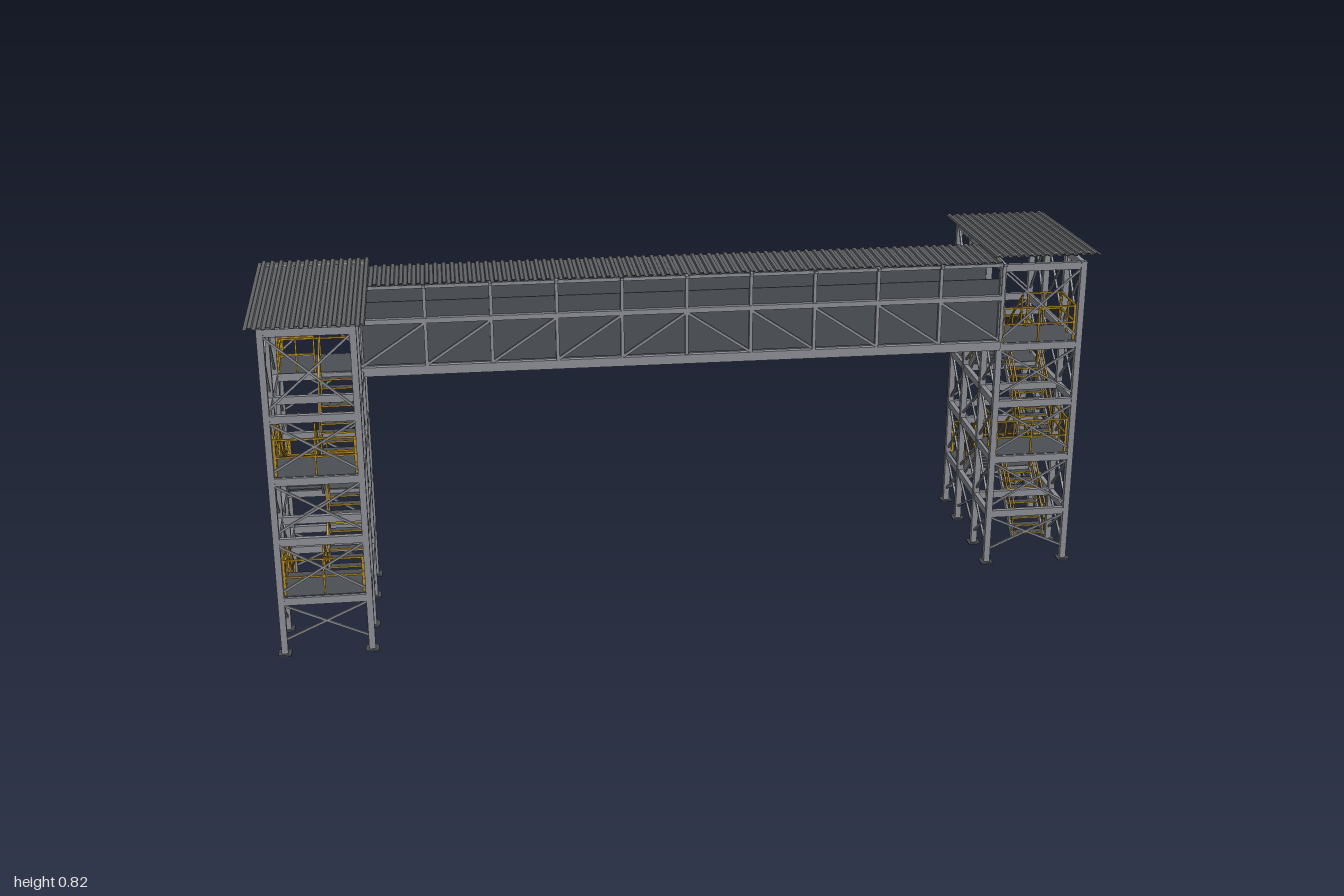
import * as THREE from 'three';
import { mergeGeometries } from 'three/addons/utils/BufferGeometryUtils.js';

const STEEL = 0x8a8c92, DARK = 0x4c5054, ROOF = 0x606265, YELLOW = 0xb58c22;
const V = (x, y, z) => new THREE.Vector3(x, y, z);

// One named mesh from many pieces
function part(name, color, geos) {
  const mesh = new THREE.Mesh(mergeGeometries(geos), new THREE.MeshStandardMaterial({ color }));
  mesh.name = name;
  return mesh;
}

const box = (w, h, d, x, y, z) => new THREE.BoxGeometry(w, h, d).translate(x, y, z);

// Rectangular bar between two points
function bar(a, b, w, h = w) {
  const o = new THREE.Object3D();
  o.position.copy(a).add(b).multiplyScalar(0.5);
  o.lookAt(b);
  o.updateMatrix();
  return new THREE.BoxGeometry(w, h, a.distanceTo(b)).applyMatrix4(o.matrix);
}

// Pair of crossing rods in the rectangle spanned by (p,q) at two heights
function cross(p, q, y0, y1) {
  return [
    bar(V(p[0], y0, p[1]), V(q[0], y1, q[1]), 0.005),
    bar(V(p[0], y1, p[1]), V(q[0], y0, q[1]), 0.005),
  ];
}

// Level guard rail with top rail, mid rail and posts
function guard(p, q, y) {
  const at = (t, h) => V(p[0] + (q[0] - p[0]) * t, y + h, p[1] + (q[1] - p[1]) * t);
  const out = [0.044, 0.086].map(h => bar(at(0, h), at(1, h), 0.004));
  for (const t of [0.02, 0.5, 0.98]) out.push(bar(at(t, 0), at(t, 0.086), 0.004));
  return out;
}

// Corrugated sheet: trapezoid ribs along x, swept in z from zA to zB
function corrugated(x0, x1, zA, yA, zB, yB, count) {
  const top = [], pitch = (x1 - x0) / count, rise = 0.004;
  for (let i = 0; i < count; i++) {
    const x = x0 + i * pitch;
    top.push([x, 0], [x + pitch * 0.4, 0], [x + pitch * 0.5, rise], [x + pitch * 0.9, rise]);
  }
  top.push([x1, 0]);
  const under = top.map(([x, y]) => [x, y - 0.0015]).reverse();
  const shape = new THREE.Shape([...top, ...under].map(([x, y]) => new THREE.Vector2(x, y)));
  const g = new THREE.ExtrudeGeometry(shape, { depth: Math.hypot(zB - zA, yB - yA), bevelEnabled: false });
  return g.rotateX(-Math.atan2(yB - yA, zB - zA)).translate(0, yA, zA);
}

const XO = -0.967, XI = -0.768;               // outer and inner column lines
const ROWS = [0.344, 0.22, 0.061, -0.061];    // column rows
const BEAMS = [0.134, 0.281, 0.428, 0.576, 0.777];
const FLOORS = [0, 0.145, 0.291, 0.438, 0.586];

function stairTower() {
  const tower = new THREE.Group();
  const columns = [], plates = [], beams = [], braces = [], rails = [], decks = [];
  const purlins = [], stringers = [], treads = [], nosings = [];

  // Frame
  for (const x of [XO, XI]) {
    for (const z of ROWS) {
      columns.push(box(0.015, 0.787, 0.015, x, 0.3935, z));
      plates.push(box(0.03, 0.004, 0.03, x, 0.002, z));
    }
    for (const y of BEAMS) beams.push(box(0.012, 0.018, 0.405, x, y, 0.1415));
  }
  for (const z of ROWS) {
    for (const y of BEAMS) beams.push(box(0.199, 0.018, 0.012, (XO + XI) / 2, y, z));
    // Purlins and rafters following the roof slope
    const y = 0.794 + (0.344 - z) * 0.04;
    purlins.push(box(0.25, 0.006, 0.008, -0.87, y - 0.003, z));
  }

  // Cross bracing on the long sides and both ends
  BEAMS.forEach((yTop, i) => {
    const y0 = i ? BEAMS[i - 1] + 0.024 : 0.038, y1 = yTop - 0.012;
    for (let b = 0; b < 3; b++) {
      for (const x of [XO, XI]) {
        if (x === XI && b === 2 && i === 4) continue;   // walkway opening
        braces.push(...cross([x, ROWS[b] - 0.007], [x, ROWS[b + 1] + 0.007], y0, y1));
      }
    }
    for (const z of [ROWS[0], ROWS[3]])
      braces.push(...cross([XO + 0.007, z], [XI - 0.007, z], y0, y1));
  });

  // Landings alternate between the far end and the bridge end
  for (let f = 1; f <= 4; f++) {
    const y = FLOORS[f], far = f % 2 === 1;
    const [za, zb] = far ? [0.337, 0.22] : [0.061, -0.054];
    decks.push(box(0.195, 0.004, Math.abs(za - zb) + 0.012, (XO + XI) / 2, y - 0.002, (za + zb) / 2));
    const end = far ? za : zb;
    rails.push(...guard([XO + 0.008, za], [XO + 0.008, zb], y));
    rails.push(...guard([XO + 0.008, end], [XI - 0.008, end], y));
    if (f < 4) rails.push(...guard([XI - 0.008, za], [XI - 0.008, zb], y));
    else rails.push(...guard([XO + 0.008, za], [-0.872, za], y));
  }

  // Flights: odd ones in the outer lane, even ones in the inner lane
  for (let f = 0; f < 4; f++) {
    const up = f % 2 === 0, xc = up ? -0.915 : -0.821, half = 0.041;
    const zs = up ? 0.065 : 0.215, ze = up ? 0.215 : 0.065;
    const ys = FLOORS[f] + (f ? -0.004 : 0.006), ye = FLOORS[f + 1] - 0.01;
    const at = (x, t, h) => V(x, ys + (ye - ys) * t + h, zs + (ze - zs) * t);
    for (const x of [xc - half, xc + half]) {
      stringers.push(bar(at(x, 0, 0), at(x, 1, 0), 0.005, 0.018));
      for (const h of [0.05, 0.092]) rails.push(bar(at(x, 0, h), at(x, 1, h), 0.004));
      for (const t of [0.04, 0.5, 0.96]) rails.push(bar(at(x, t, 0), at(x, t, 0.092), 0.004));
    }
    for (let i = 0; i < 9; i++) {
      const p = at(xc, (i + 0.5) / 9, 0.004), dir = Math.sign(ze - zs);
      treads.push(box(half * 2, 0.003, 0.018, xc, p.y, p.z));
      nosings.push(box(half * 2, 0.004, 0.002, xc, p.y, p.z - dir * 0.01));
    }
  }

  tower.add(
    part('columns', STEEL, columns), part('basePlates', DARK, plates),
    part('floorBeams', STEEL, beams), part('crossBraces', STEEL, braces),
    part('roofPurlins', STEEL, purlins), part('landings', DARK, decks),
    part('stairStringers', STEEL, stringers), part('stairTreads', DARK, treads),
    part('treadNosings', YELLOW, nosings), part('handrails', YELLOW, rails),
    part('towerRoof', ROOF, [corrugated(-1, -0.74, -0.092, 0.811, 0.374, 0.794, 13)]),
  );
  return tower;
}

function footbridge() {
  const bridge = new THREE.Group();
  const chords = [], posts = [], diagonals = [], panels = [], under = [], rafters = [];
  const N = 10, L = 0.768, step = 2 * L / N;

  for (const z of [-0.068, 0.068]) {
    const s = Math.sign(z);
    chords.push(box(2 * L, 0.022, 0.014, 0, 0.583, z), box(2 * L, 0.012, 0.012, 0, 0.704, z));
    chords.push(box(2 * L, 0.008, 0.008, 0, 0.786, z));
    panels.push(box(2 * L, 0.154, 0.003, 0, 0.672, s * 0.058));
    for (let i = 0; i <= N; i++) {
      const x = -L + i * step;
      posts.push(box(0.008, 0.2, 0.01, x, 0.69, z));
      if (i === N) continue;
      // Diagonals mirrored about midspan
      const rise = i < N / 2;
      diagonals.push(bar(V(x, rise ? 0.594 : 0.698, z), V(x + step, rise ? 0.698 : 0.594, z), 0.006));
    }
  }
  for (let i = 0; i <= N; i++) {
    under.push(box(0.01, 0.016, 0.13, -L + i * step, 0.58, 0));
    rafters.push(box(0.008, 0.006, 0.165, -L + i * step, 0.788, 0));
  }

  bridge.add(
    part('trussChords', STEEL, chords), part('trussPosts', STEEL, posts),
    part('trussDiagonals', STEEL, diagonals), part('sidePanels', DARK, panels),
    part('deck', DARK, [box(2 * L, 0.005, 0.126, 0, 0.586, 0)]),
    part('crossBeams', STEEL, under), part('roofRafters', STEEL, rafters),
    part('bridgeRoof', ROOF, [corrugated(-0.76, 0.76, -0.094, 0.792, 0.088, 0.796, 76)]),
  );
  return bridge;
}

export function createModel() {
  const model = new THREE.Group();
  model.name = 'coveredFootbridge';
  const right = stairTower(), left = stairTower(), bridge = footbridge();
  right.name = 'rightStairTower';
  left.name = 'leftStairTower';
  left.rotation.y = Math.PI;
  bridge.name = 'bridgeSpan';
  model.add(right, left, bridge);
  return model;
}
